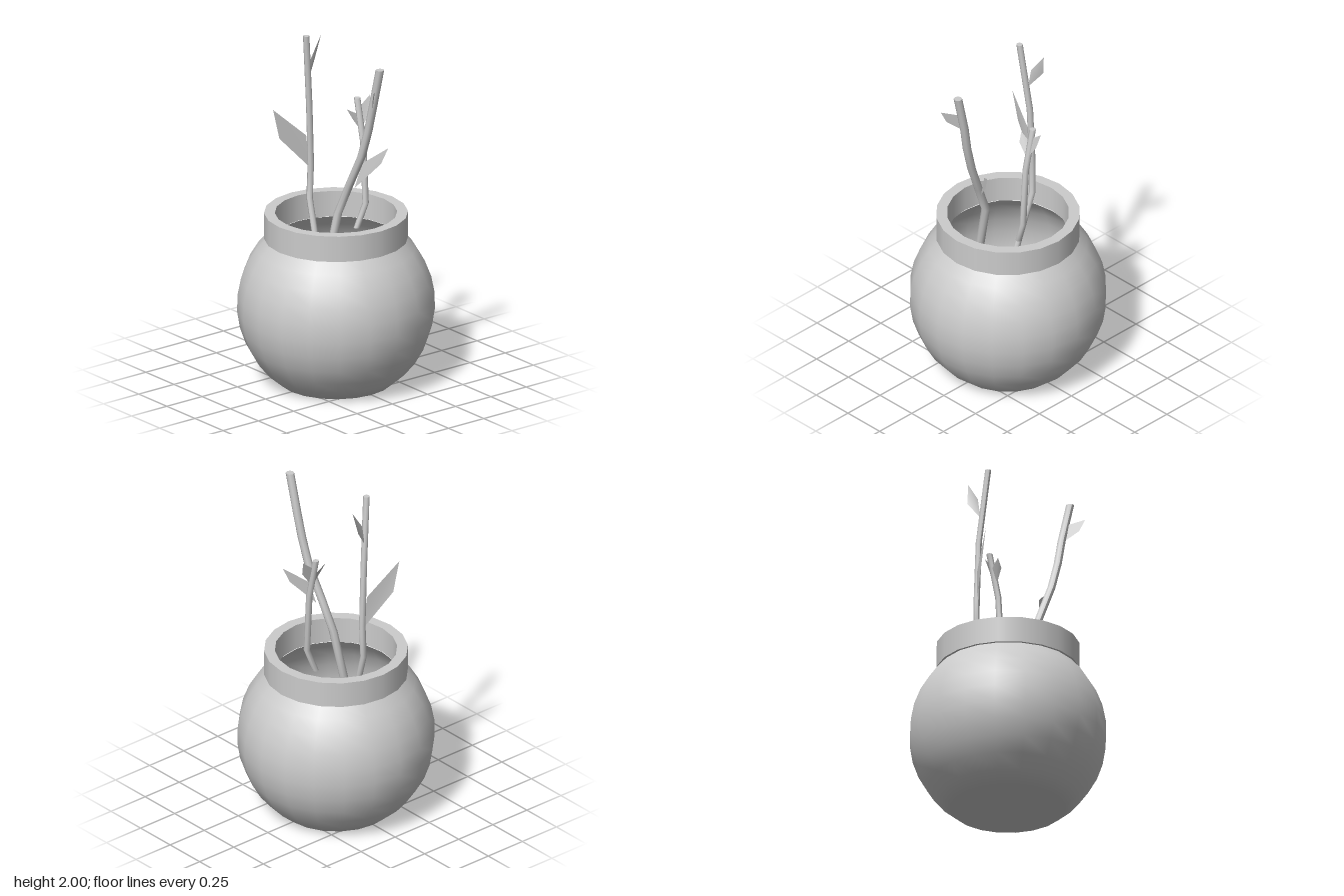
import * as THREE from 'three';

const SIDES = 20;
const grey = new THREE.MeshStandardMaterial({ color: 0xcccccc });
const thin = new THREE.MeshStandardMaterial({ color: 0xcccccc, side: THREE.DoubleSide });

function add(parent, name, geometry, material = grey) {
  const mesh = new THREE.Mesh(geometry, material);
  mesh.name = name;
  parent.add(mesh);
  return mesh;
}

// Lathed surface; a profile running upwards faces outwards
function lathe(points) {
  return new THREE.LatheGeometry(points.map(([r, y]) => new THREE.Vector2(r, y)), SIDES);
}

// Profile of a sphere centred at height 0.45, cut between two heights
function bowlProfile(radius, y0, y1, steps = 10) {
  const a0 = Math.asin((y0 - 0.45) / radius);
  const a1 = Math.asin((y1 - 0.45) / radius);
  return Array.from({ length: steps + 1 }, (_, i) => {
    const a = a0 + ((a1 - a0) * i) / steps;
    return [radius * Math.cos(a), 0.45 + radius * Math.sin(a)];
  });
}

// Capped stem: the rings of a cylinder are moved onto the path points
function stem(path, radius) {
  const n = path.length - 1;
  const geo = new THREE.CylinderGeometry(radius, radius, 1, 8, n);
  const pos = geo.attributes.position;
  for (let i = 0; i < pos.count; i++) {
    const [x, y, z] = path[Math.round((pos.getY(i) + 0.5) * n)];
    pos.setXYZ(i, pos.getX(i) + x, y, pos.getZ(i) + z);
  }
  geo.computeVertexNormals();
  return geo;
}

// Four-cornered leaf: base, outer corner, tip, inner corner
function leaf(corners) {
  const geo = new THREE.BufferGeometry();
  geo.setAttribute('position', new THREE.Float32BufferAttribute(corners.flat(), 3));
  geo.setIndex([0, 1, 2, 0, 2, 3]);
  geo.computeVertexNormals();
  return geo;
}

const branches = [
  {
    name: 'thickBranch', radius: 0.024,
    path: [[0.09, 0.72, 0.135], [0.105, 1.03, 0.07], [0.18, 1.21, 0.05],
      [0.26, 1.40, 0.025], [0.305, 1.56, 0.015], [0.335, 1.71, 0.005], [0.39, 1.94, 0]],
    leaves: [
      [[0.19, 1.19, 0.02], [0.275, 1.33, -0.10], [0.295, 1.42, -0.135], [0.205, 1.33, -0.02]],
      [[0.34, 1.70, 0.01], [0.41, 1.76, 0.07], [0.44, 1.83, 0.085], [0.37, 1.81, 0.02]],
    ],
  },
  {
    name: 'tallBranch', radius: 0.018,
    path: [[-0.09, 0.64, 0.04], [-0.21, 1.02, 0.02], [-0.205, 1.22, 0.015],
      [-0.2, 1.57, 0.03], [-0.167, 2, 0.078]],
    leaves: [
      [[-0.21, 1.20, 0.02], [-0.265, 1.39, 0.19], [-0.265, 1.57, 0.235], [-0.215, 1.39, 0.04]],
      [[-0.195, 1.72, 0.04], [-0.235, 1.83, -0.04], [-0.215, 1.96, -0.065], [-0.2, 1.84, 0.02]],
    ],
  },
  {
    name: 'shortBranch', radius: 0.018,
    path: [[0.035, 0.88, -0.12], [0.05, 1.02, -0.17], [0.03, 1.37, -0.17], [-0.025, 1.62, -0.17]],
    leaves: [
      [[0.015, 1.45, -0.17], [0.015, 1.54, -0.235], [-0.01, 1.625, -0.25], [-0.015, 1.56, -0.17]],
      [[0.015, 1.43, -0.17], [0.015, 1.52, -0.105], [-0.015, 1.57, -0.09], [-0.015, 1.53, -0.16]],
    ],
  },
];

export function createModel() {
  const model = new THREE.Group();
  model.name = 'pottedBranches';

  // Round pot with a flat base and a hollow inside
  const pot = new THREE.Group();
  pot.name = 'pot';
  model.add(pot);
  add(pot, 'potBody', lathe([[0, 0], ...bowlProfile(0.55, 0, 0.85)]));
  add(pot, 'potInside', lathe([...bowlProfile(0.515, 0.03, 0.84).reverse(), [0, 0.03]]));

  // Collar around the mouth, each face separate for sharp edges
  const collar = [[0.34, 0.84], [0.4, 0.84], [0.4, 0.99], [0.34, 0.99], [0.34, 0.84]];
  const faces = ['rimUnderside', 'rimOuter', 'rimTop', 'rimInner'];
  faces.forEach((name, i) => add(pot, name, lathe([collar[i], collar[i + 1]])));

  // Branches with their leaves
  for (const { name, radius, path, leaves } of branches) {
    const branch = new THREE.Group();
    branch.name = name;
    model.add(branch);
    add(branch, 'stem', stem(path, radius));
    leaves.forEach((corners) => add(branch, 'leaf', leaf(corners), thin));
  }
  return model;
}
